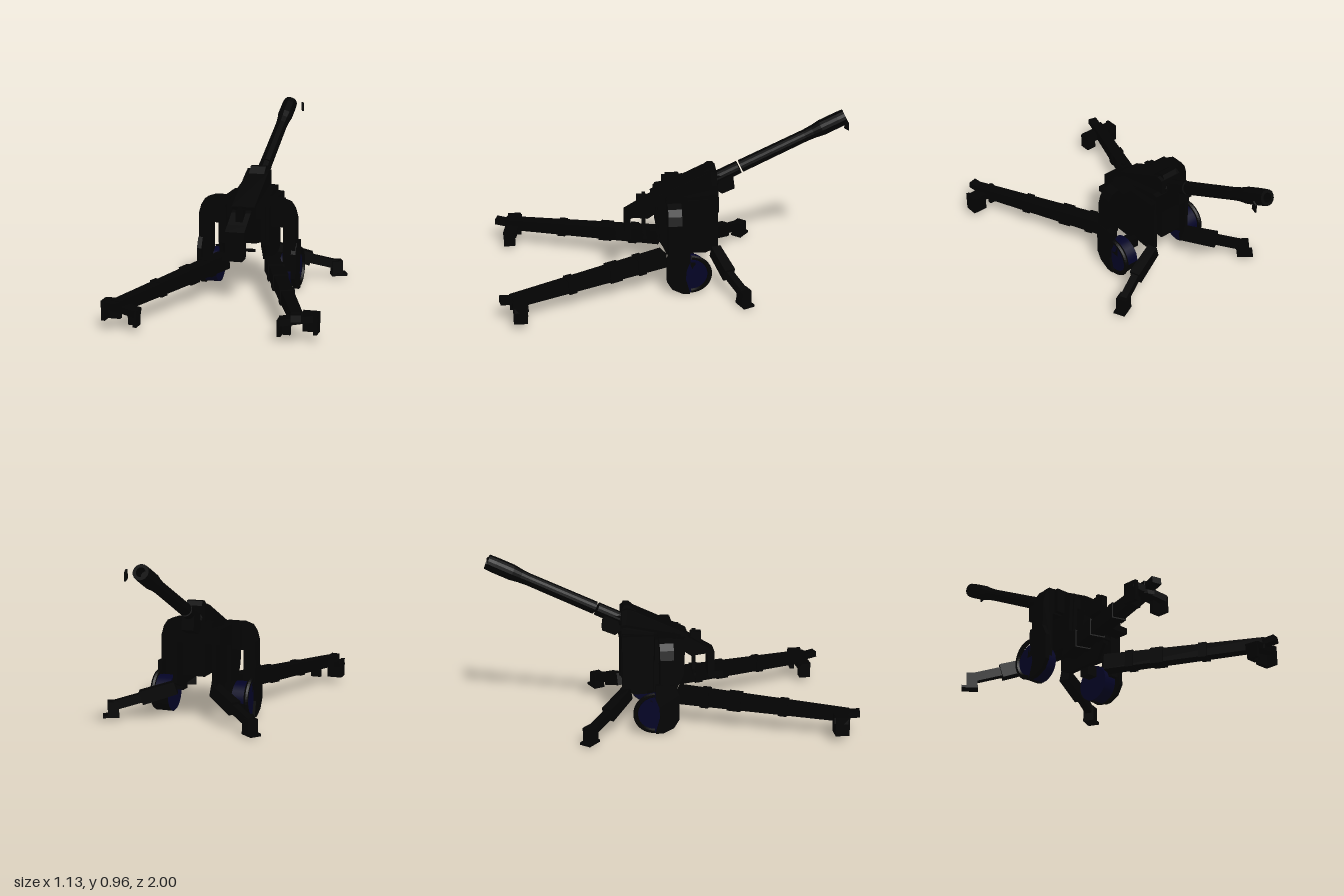
import * as THREE from 'three';

export function createModel() {
  const root = new THREE.Group();
  const black = new THREE.MeshStandardMaterial({ color: 0x030303, flatShading: true, side: THREE.DoubleSide });
  black.name = 'black steel';
  const navy = new THREE.MeshStandardMaterial({ color: 0x030326, side: THREE.DoubleSide });
  navy.name = 'navy wheel';
  const CX = -0.045; // centre line of the gun

  const add = (name, geo, mat = black) => {
    const m = new THREE.Mesh(geo, mat);
    m.name = name;
    root.add(m);
    return m;
  };
  // box given by its limits
  const box = (name, x0, x1, y0, y1, z0, z1) =>
    add(name, new THREE.BoxGeometry(Math.abs(x1 - x0), y1 - y0, z1 - z0))
      .position.set((x0 + x1) / 2, (y0 + y1) / 2, (z0 + z1) / 2);
  // side profile of [z, y] points, extruded from x0 to x1
  const slab = (name, pts, x0, x1) => {
    const s = new THREE.Shape(pts.map(p => new THREE.Vector2(p[0], p[1])));
    const g = new THREE.ExtrudeGeometry(s, { depth: x1 - x0, bevelEnabled: false });
    g.rotateY(-Math.PI / 2).translate(x1, 0, 0);
    return add(name, g);
  };
  // square beam from a to b, tapering to the given share at b
  const beam = (name, a, b, w, h, taper = 1) => {
    const A = new THREE.Vector3(...a), B = new THREE.Vector3(...b);
    const g = new THREE.BoxGeometry(w, h, A.distanceTo(B));
    const p = g.attributes.position;
    for (let i = 0; i < p.count; i++)
      if (p.getZ(i) > 0) p.setXY(i, p.getX(i) * taper, p.getY(i) * taper);
    const m = add(name, g);
    m.position.copy(A).lerp(B, 0.5);
    m.lookAt(B);
    return m;
  };

  // barrel with muzzle brake and hollow bore
  const dir = new THREE.Vector3(0, 0.438, -0.899).normalize();
  const along = (name, profile) => {
    const m = add(name, new THREE.LatheGeometry(profile.map(p => new THREE.Vector2(...p)), 16));
    m.position.set(CX, 0.638, -0.4);
    m.quaternion.setFromUnitVectors(new THREE.Vector3(0, 1, 0), dir);
  };
  along('barrel', [[0, 0.006], [0.036, 0.006], [0.035, 0.2], [0.034, 0.4], [0.037, 0.45],
    [0.044, 0.5], [0.044, 0.6], [0.042, 0.645], [0.025, 0.645], [0.025, 0.58], [0, 0.58]]);
  along('recoilSleeve', [[0, -0.45], [0.045, -0.45], [0.045, -0.15], [0.037, -0.14], [0.037, -0.006], [0, -0.006]]);
  slab('sightBlade', [[-0.965, 0.93], [-0.985, 0.915], [-0.985, 0.87], [-0.96, 0.885]], 0.031, 0.041);

  // cradle and upper mount
  slab('cradle', [[0.1, 0.49], [-0.19, 0.63], [-0.23, 0.645], [-0.265, 0.635], [-0.27, 0.25], [-0.1, 0.25], [0.07, 0.28]], -0.105, 0.025);
  slab('cradleCap', [[-0.15, 0.6], [-0.22, 0.66], [-0.25, 0.66], [-0.265, 0.63]], -0.085, 0.005);
  slab('saddle', [[0.06, 0.49], [-0.24, 0.555], [-0.27, 0.55], [-0.27, 0.43], [0.06, 0.42]], -0.148, 0.065);
  slab('cradleNose', [[-0.26, 0.6], [-0.36, 0.6], [-0.37, 0.52], [-0.3, 0.49], [-0.26, 0.52]], -0.08, -0.01);

  // breech and its fittings
  slab('breech', [[0.06, 0.49], [0.12, 0.46], [0.2, 0.41], [0.25, 0.38], [0.25, 0.345], [0.2, 0.37], [0.12, 0.36], [0.06, 0.4]], -0.1, 0.01);
  box('breechPost', -0.1, 0.01, 0.24, 0.38, 0.215, 0.25);
  box('loadingTray', -0.1, 0.01, 0.23, 0.265, 0.22, 0.3);
  box('breechLever', -0.055, -0.035, 0.25, 0.5, 0.13, 0.15);
  box('crossBar', -0.12, 0.04, 0.25, 0.265, 0.13, 0.145);
  box('breechSight', -0.06, -0.02, 0.4, 0.485, 0.12, 0.18);

  // inner cheeks, side arches and wheels, mirrored about the centre line
  for (const s of [-1, 1]) {
    const span = (a, b) => (s > 0 ? [CX + a, CX + b] : [CX - b, CX - a]);
    slab('cheek', [[0.08, 0.49], [-0.2, 0.515], [-0.265, 0.52], [-0.27, 0.2], [-0.2, 0.17], [0.02, 0.18], [0.07, 0.27]],
      ...span(0.1, 0.125));
    slab('innerLeg', [[0.07, 0.49], [-0.1, 0.515], [-0.27, 0.515], [-0.27, 0.43], [-0.1, 0.4], [-0.1, 0.18], [0.02, 0.18], [0.06, 0.27]],
      ...span(0.125, 0.148));

    // arch with a rounded outer shoulder, and the deeper bar it hangs from
    const arch = new THREE.Shape();
    [[0.1, 0.52], [0.2, 0.52], [0.245, 0.505], [0.268, 0.47], [0.282, 0.42], [0.285, 0.12], [0.212, 0.12], [0.212, 0.37], [0.1, 0.37]]
      .forEach(([x, y], i) => (i ? arch.lineTo(s * x, y) : arch.moveTo(s * x, y)));
    add('sideArch', new THREE.ExtrudeGeometry(arch, { depth: 0.075, bevelEnabled: false }))
      .position.set(CX, 0, s > 0 ? -0.055 : -0.075);
    box('archBar', CX + s * 0.1, CX + s * 0.2, 0.38, 0.515, -0.095, 0.025);

    // fender plate outside the wheel
    const [f0, f1] = span(0.26, 0.287);
    slab('fender', [[0.03, 0.22], [0, 0.28], [-0.1, 0.28], [-0.1, 0.2], [-0.08, 0.15], [-0.075, 0.09], [-0.1, 0], [-0.06, 0], [0, 0.03], [0.03, 0.08]], f0, f1);

    // wheel, with the dark tread along its lower rear and a guard rim
    const [wx0, wx1] = span(0.185, 0.272);
    const wx = (wx0 + wx1) / 2, w = wx1 - wx0;
    add('wheel', new THREE.CylinderGeometry(0.1, 0.1, w, 28).rotateZ(Math.PI / 2), navy).position.set(wx, 0.102, -0.1);
    add('tread', new THREE.CylinderGeometry(0.102, 0.102, w, 10, 1, true, Math.PI, Math.PI / 2).rotateZ(Math.PI / 2))
      .position.set(wx, 0.102, -0.1);
    add('guardRim', new THREE.TorusGeometry(0.104, 0.013, 6, 24, Math.PI).rotateZ(-Math.PI / 2).rotateY(Math.PI / 2))
      .position.set((f0 + f1) / 2, 0.117, -0.105);
    box('axle', CX + s * 0.12, CX + s * 0.272, 0.13, 0.19, -0.13, -0.07);
  }

  // split trails with joints and spades
  for (const [x0, x1, zEnd] of [[-0.17, -0.475, 0.93], [0.11, 0.46, 0.88]]) {
    const s = Math.sign(x1);
    const at = t => [x0 + (x1 - x0) * t, 0.165 - 0.04 * t, 0.04 + (zEnd - 0.04) * t];
    beam('trail', at(0), at(1), 0.082, 0.088, 0.7);
    for (const [t, len] of [[0.14, 0.05], [0.3, 0.08], [0.6, 0.05]])
      beam('trailJoint', at(t), at(t + len), 0.092 - 0.025 * t, 0.098 - 0.025 * t);
    beam('trailTip', at(0.96), [x1 + s * 0.01, 0.14, zEnd + 0.06], 0.05, 0.035);
    // spade bar with a downturned plate at each end
    const z = zEnd - 0.03;
    beam('spadeBar', [s * 0.555, 0.125, z - 0.025], [s * 0.365, 0.095, z + 0.01], 0.075, 0.035);
    box('outerSpade', s * 0.475, s * 0.56, 0.04, 0.145, z - 0.055, z - 0.03);
    box('outerSpadeSide', s * 0.54, s * 0.56, 0.04, 0.145, z - 0.055, z + 0.02);
    box('innerSpade', s * 0.36, s * 0.42, 0.025, 0.11, z - 0.02, z + 0.005);
    box('innerSpadeSide', s * 0.36, s * 0.38, 0.025, 0.11, z - 0.02, z + 0.045);
  }

  // front stabilisers with ground pads
  const legs = [
    [[-0.15, 0.175, -0.24], [-0.31, 0.115, -0.36], [-0.44, 0.07, -0.465]],
    [[0.07, 0.175, -0.255], [0.25, 0.115, -0.315], [0.4, 0.07, -0.385]],
  ];
  for (const [a, b, c] of legs) {
    beam('stabiliserArm', a, b, 0.055, 0.07, 1.1);
    beam('stabiliserShin', b, c, 0.04, 0.05);
    const block = add('stabiliserFoot', new THREE.BoxGeometry(0.06, 0.075, 0.06));
    block.position.set(c[0] - Math.sign(c[0]) * 0.01, 0.06, c[2] + 0.005);
    const pad = add('groundPad', new THREE.BoxGeometry(0.065, 0.014, 0.09));
    pad.position.set(c[0], 0.016, c[2]);
    pad.rotation.y = block.rotation.y = Math.atan2(c[0] - b[0], c[2] - b[2]);
  }
  return root;
}
